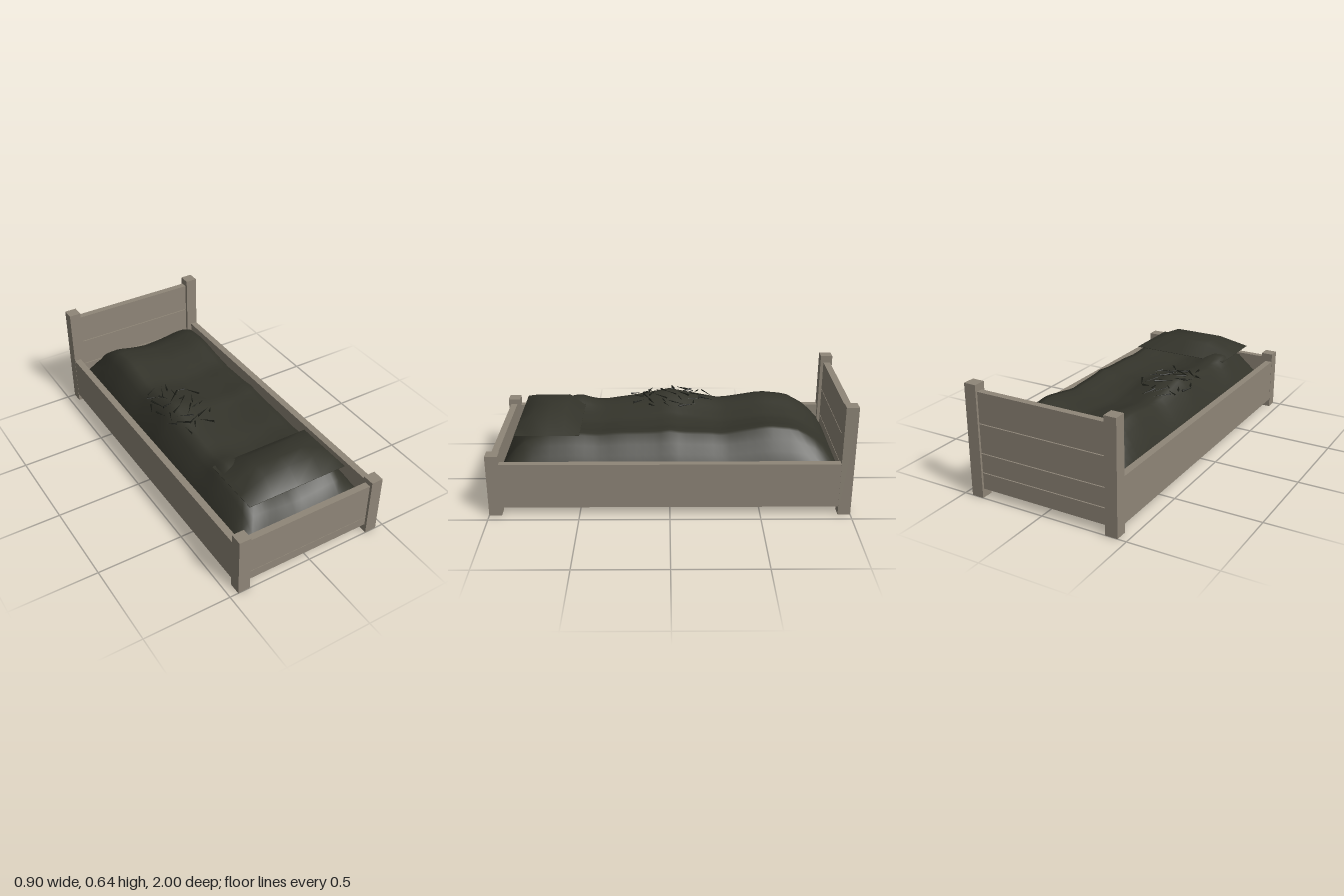
import * as THREE from 'three';

const wood = new THREE.MeshStandardMaterial({ color: 0x8f8678 });
wood.name = 'weathered wood';
const cloth = new THREE.MeshStandardMaterial({ color: 0x34342b, side: THREE.DoubleSide });
cloth.name = 'dark cloth';
const straw = new THREE.MeshStandardMaterial({ color: 0x20221b });
straw.name = 'dark straw';

// Linear interpolation through [position, value] pairs
function along(table, t) {
  for (let i = 1; i < table.length; i++) {
    const [a, va] = table[i - 1], [b, vb] = table[i];
    if (t <= b) return va + (vb - va) * Math.max(0, (t - a) / (b - a));
  }
  return table[table.length - 1][1];
}

// Sagging blanket: ridge height along the bed and its share across the bed
const EDGE = 0.2;
const ridge = [[-0.95, 0.2], [-0.89, 0.31], [-0.8, 0.39], [-0.7, 0.445], [-0.55, 0.46], [-0.4, 0.435],
  [-0.3, 0.42], [-0.15, 0.45], [0, 0.48], [0.2, 0.44], [0.4, 0.41], [0.55, 0.42], [0.7, 0.41], [0.8, 0.38],
  [0.88, 0.31], [0.95, 0.2]];
const across = [[-0.41, 0], [-0.385, 0.25], [-0.355, 0.48], [-0.28, 0.98], [-0.2, 1], [-0.1, 0.88], [0, 0.8],
  [0.12, 0.86], [0.2, 0.94], [0.27, 0.97], [0.35, 0.48], [0.385, 0.25], [0.41, 0]];
function blanketTop(x, z) {
  const hollow = 0.045 * Math.exp(-((z / 0.22) ** 2)) * THREE.MathUtils.smoothstep(x, -0.15, 0.15);
  const lump = 0.025 * Math.exp(-(((x + 0.24) / 0.08) ** 2) - ((z - 0.54) / 0.07) ** 2);
  return EDGE + (along(ridge, z) - hollow + lump - EDGE) * along(across, x);
}

function box(parent, name, x0, x1, y0, y1, z0, z1) {
  const mesh = new THREE.Mesh(new THREE.BoxGeometry(x1 - x0, y1 - y0, z1 - z0), wood);
  mesh.position.set((x0 + x1) / 2, (y0 + y1) / 2, (z0 + z1) / 2);
  mesh.name = name;
  parent.add(mesh);
}

function createFrame() {
  const frame = new THREE.Group();
  frame.name = 'bedFrame';
  for (const s of [-1, 1]) {
    const side = s < 0 ? 'right' : 'left';
    const px = s * 0.415;
    box(frame, side + 'FootPost', px - 0.035, px + 0.035, 0, 0.36, 0.93, 1);
    box(frame, side + 'HeadPost', px - 0.035, px + 0.035, 0, 0.64, -1, -0.93);
    const rx = s * 0.429;
    box(frame, side + 'SideRail', rx - 0.02, rx + 0.02, 0.05, 0.31, -0.93, 0.93);
  }
  // Boards separated by narrow gaps
  for (const [y0, y1] of [[0.05, 0.103], [0.106, 0.33]]) {
    box(frame, 'footBoard', -0.38, 0.38, y0, y1, 0.947, 0.985);
  }
  for (const [y0, y1] of [[0.05, 0.142], [0.147, 0.254], [0.259, 0.422], [0.427, 0.6]]) {
    box(frame, 'headBoard', -0.38, 0.38, y0, y1, -0.987, -0.948);
  }
  return frame;
}

// Open draped sheet, hollow underneath
function createBlanket() {
  const geo = new THREE.PlaneGeometry(0.82, 1.9, 24, 40);
  geo.rotateX(-Math.PI / 2);
  const p = geo.attributes.position;
  for (let i = 0; i < p.count; i++) p.setY(i, blanketTop(p.getX(i), p.getZ(i)));
  geo.computeVertexNormals();
  const mesh = new THREE.Mesh(geo, cloth);
  mesh.name = 'blanket';
  return mesh;
}

// Flat-bottomed pillow with a broad, sloping crown
function createPillow() {
  const geo = new THREE.BoxGeometry(0.6, 0.07, 0.36, 4, 1, 4);
  const p = geo.attributes.position;
  for (let i = 0; i < p.count; i++) {
    if (p.getY(i) < 0) continue;
    const rise = Math.min(1, (0.3 - Math.abs(p.getX(i))) / 0.15, (0.18 - Math.abs(p.getZ(i))) / 0.09);
    p.setY(i, -0.033 + 0.068 * Math.max(0, rise));
  }
  geo.computeVertexNormals();
  const mesh = new THREE.Mesh(geo, cloth);
  mesh.name = 'pillow';
  mesh.position.set(0, 0.449, 0.68);
  return mesh;
}

// Loose straw scattered over one side of the blanket
function createStraw() {
  const group = new THREE.Group();
  group.name = 'looseStraw';
  let seed = 4711;
  const rand = () => (seed = (seed * 16807) % 2147483647) / 2147483647;
  const count = 30;
  for (let i = 0; i < count; i++) {
    const spread = Math.sqrt((i + 0.5) / count), turn = i * 2.4;
    const x = -0.21 + Math.cos(turn) * spread * 0.16;
    const z = -0.01 + Math.sin(turn) * spread * 0.24;
    const geo = new THREE.ConeGeometry(0.004 + rand() * 0.004, 0.04 + rand() * 0.08, 3);
    geo.rotateX(Math.PI / 2);
    const mesh = new THREE.Mesh(geo, straw);
    mesh.name = 'strawPiece';
    mesh.position.set(x, Math.max(0.445, blanketTop(x, z) + 0.001) + rand() * 0.008, z);
    mesh.rotation.set((rand() - 0.5) * 0.2, rand() * Math.PI * 2, 0, 'YXZ');
    group.add(mesh);
  }
  return group;
}

export function createModel() {
  const model = new THREE.Group();
  model.name = 'bed';
  model.add(createFrame(), createBlanket(), createPillow(), createStraw());
  return model;
}
